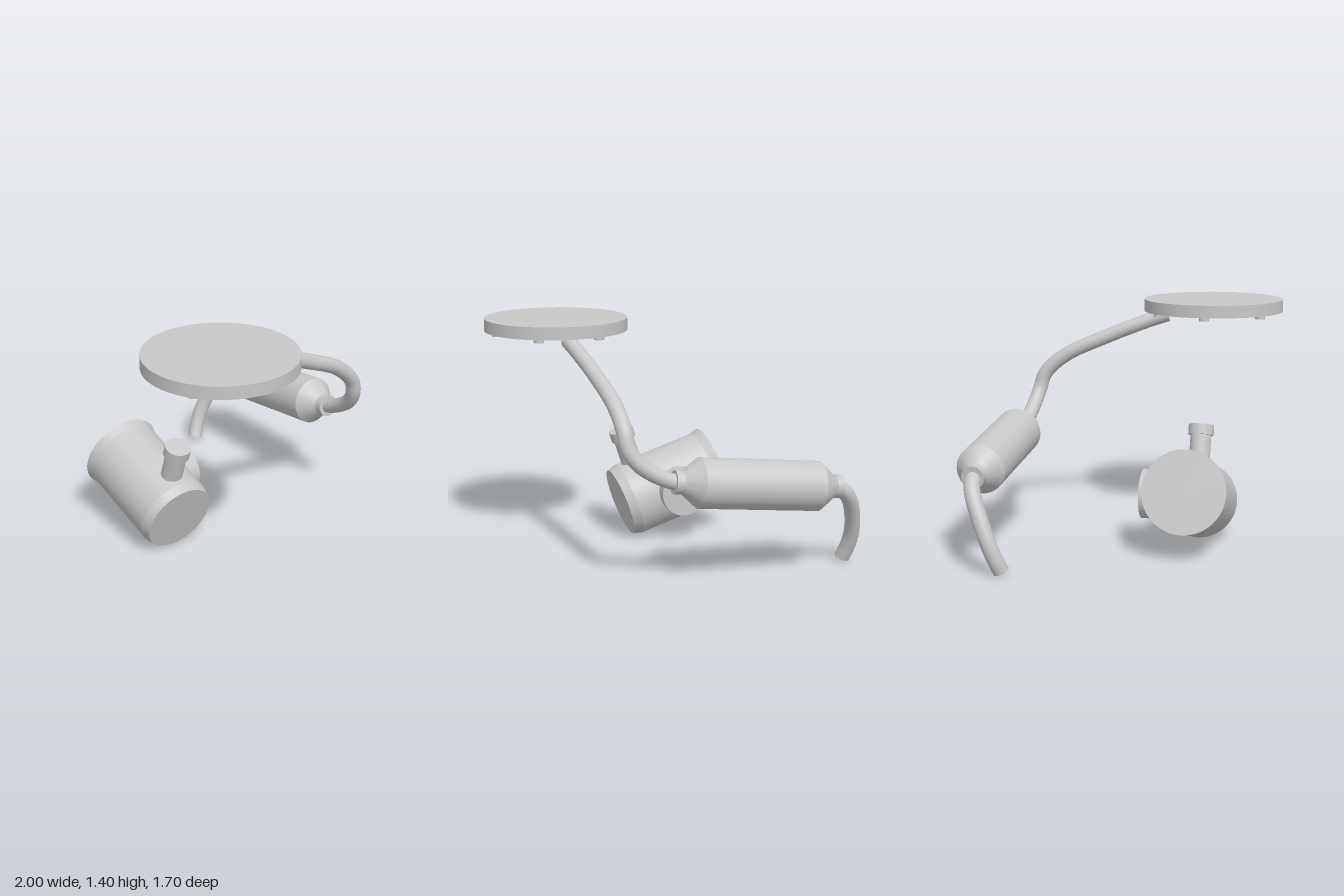
import * as THREE from 'three';
import { toCreasedNormals } from 'three/addons/utils/BufferGeometryUtils.js';

const grey = new THREE.MeshStandardMaterial({ color: 0xc8c8c8 });
grey.name = 'plain grey';

function part(name, geometry, parent, x = 0, y = 0, z = 0) {
  const mesh = new THREE.Mesh(geometry, grey);
  mesh.name = name;
  mesh.position.set(x, y, z);
  parent.add(mesh);
  return mesh;
}

const disc = (r, h, n = 48) => new THREE.CylinderGeometry(r, r, h, n);

// Turned solid along +x from [position, radius] pairs, with sharp rims
function turned(profile) {
  const pts = profile.map(([a, r]) => new THREE.Vector2(r, a));
  const g = new THREE.LatheGeometry(pts, 64);
  g.rotateZ(-Math.PI / 2);
  return toCreasedNormals(g, 0.25);
}

// Round pipe through the points, closed at both ends
function pipe(name, points, r, parent) {
  const curve = new THREE.CatmullRomCurve3(points.map(p => new THREE.Vector3(...p)));
  const group = new THREE.Group();
  group.name = name;
  part(name + 'Tube', new THREE.TubeGeometry(curve, 80, r, 28), group);
  for (const t of [0, 1]) {
    const p = curve.getPoint(t);
    const cap = part(name + 'End', new THREE.CircleGeometry(r, 28), group, p.x, p.y, p.z);
    const out = curve.getTangent(t).multiplyScalar(t ? 1 : -1);
    cap.quaternion.setFromUnitVectors(new THREE.Vector3(0, 0, 1), out);
  }
  parent.add(group);
}

export function createModel() {
  const model = new THREE.Group();
  model.name = 'exhaustAssembly';

  // Round plate with six bolts underneath
  const plate = new THREE.Group();
  plate.name = 'mountingPlate';
  plate.position.set(0.567, 0, 0.42);
  model.add(plate);
  part('plateDisc', disc(0.431, 0.075, 96), plate, 0, 1.3725, 0);
  for (let i = 0; i < 6; i++) {
    const a = (i * Math.PI) / 3;
    part('bolt', disc(0.03, 0.04, 24), plate, 0.363 * Math.cos(a), 1.33, 0.363 * Math.sin(a));
  }

  // Tilted canister with flange, filler neck and rear boss
  const canister = new THREE.Group();
  canister.name = 'canister';
  canister.position.set(-0.435, 0.41, 0.418);
  canister.rotation.z = -0.3125;
  model.add(canister);
  part('canisterBody', turned([[0.03, 0], [0.03, 0.231], [0.58, 0.231], [0.636, 0.214], [0.636, 0]]), canister);
  part('canisterFlange', turned([[0, 0], [0, 0.245], [0.07, 0.226], [0.07, 0]]), canister);
  part('fillerNeck', disc(0.063, 0.3), canister, 0.487, 0.25, 0);
  part('fillerCap', disc(0.077, 0.062), canister, 0.487, 0.415, 0);
  part('rearBoss', disc(0.146, 0.14, 64), canister, 0.287, 0, -0.222).rotation.x = Math.PI / 2;

  // Muffler: barrel, cones and end collars
  const muffler = new THREE.Group();
  muffler.name = 'muffler';
  muffler.position.set(-0.305, 0.577, -0.708);
  muffler.rotation.z = 0.11;
  model.add(muffler);
  part('mufflerBarrel', turned([
    [-0.465, 0], [-0.465, 0.062], [-0.363, 0.143], [0.363, 0.143], [0.465, 0.062], [0.465, 0],
  ]), muffler);
  for (const s of [-1, 1]) {
    part('mufflerCollar', disc(0.067, 0.045), muffler, s * 0.484, 0, 0).rotation.z = Math.PI / 2;
  }

  // Pipe from the muffler up to the plate
  pipe('inletPipe', [
    [0.15, 0.627, -0.708], [0.22, 0.642, -0.708], [0.32, 0.69, -0.703], [0.4, 0.75, -0.694],
    [0.45, 0.83, -0.675], [0.462, 0.92, -0.645], [0.475, 1.036, -0.52],
    [0.508, 1.164, -0.247], [0.546, 1.262, 0], [0.565, 1.305, 0.13],
  ], 0.045, model);

  // Curved tail pipe
  pipe('tailPipe', [
    [-0.77, 0.525, -0.708], [-0.83, 0.495, -0.705], [-0.885, 0.43, -0.68], [-0.93, 0.32, -0.63],
    [-0.954, 0.195, -0.578], [-0.948, 0.1, -0.54], [-0.93, 0.03, -0.512],
  ], 0.046, model);

  return model;
}
